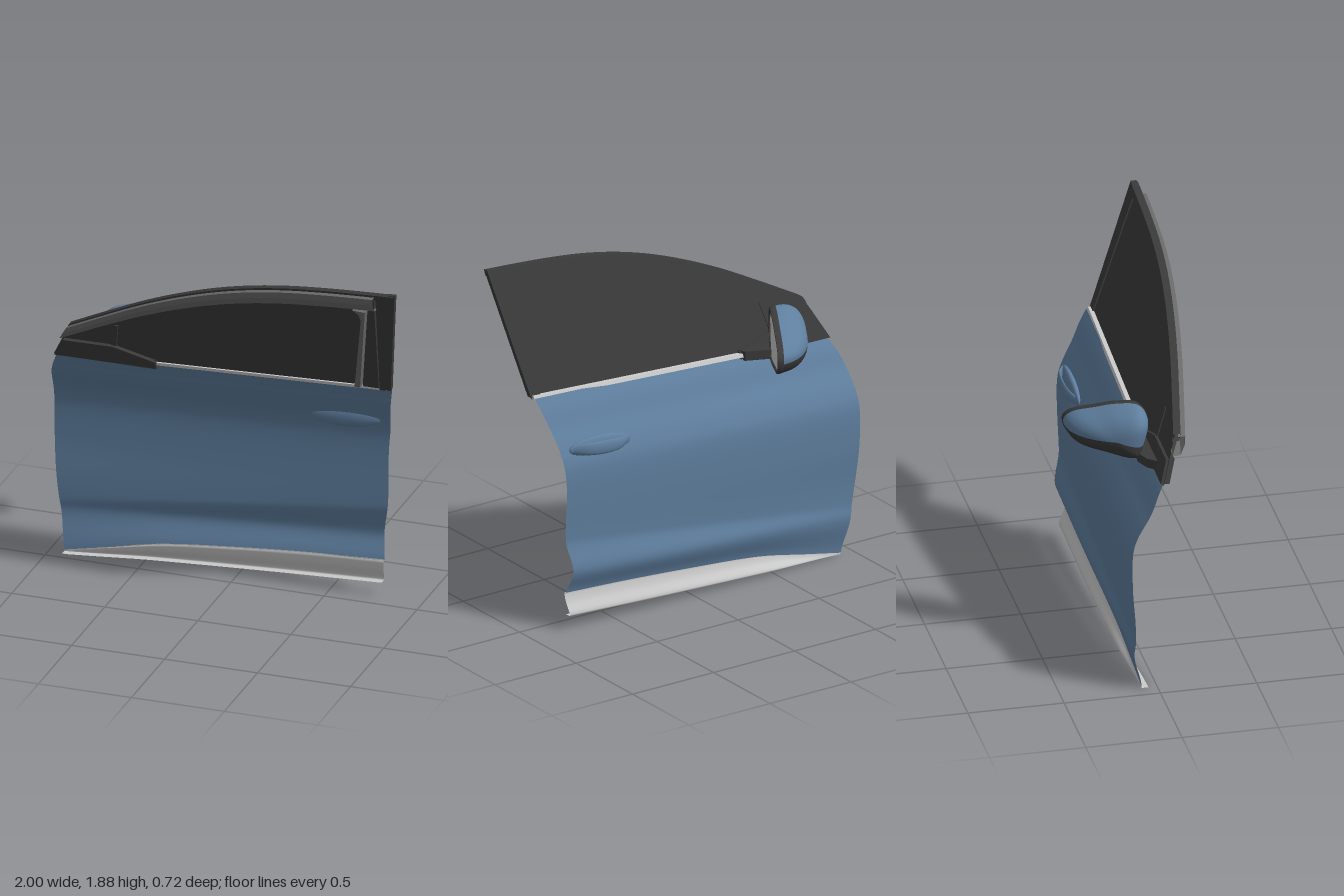
import * as THREE from 'three';

const mat = (color) => new THREE.MeshStandardMaterial({ color, side: THREE.DoubleSide });
const blue = mat(0x5f7f9f), dark = mat(0x3a3a3a), trim = mat(0x6a6a6a), grey = mat(0xcccccc);
const lerp = THREE.MathUtils.lerp, smooth = THREE.MathUtils.smoothstep;

// Smooth interpolation through a short table of [x, y] points
function interp(t, x) {
  let i = 0;
  while (i < t.length - 2 && x > t[i + 1][0]) i++;
  const slope = (k) => {
    const a = t[Math.max(k - 1, 0)], b = t[Math.min(k + 1, t.length - 1)];
    return (b[1] - a[1]) / (b[0] - a[0]);
  };
  const [x0, y0] = t[i], [x1, y1] = t[i + 1], h = x1 - x0;
  const s = THREE.MathUtils.clamp((x - x0) / h, 0, 1), r = 1 - s;
  return y0 * (1 + 2 * s) * r * r + h * slope(i) * s * r * r
    + y1 * s * s * (3 - 2 * s) - h * slope(i + 1) * s * s * r;
}

// Surface grid from f(u, v) -> [x, y, z]
function grid(f, nu, nv) {
  const pos = [], idx = [];
  for (let j = 0; j <= nv; j++) for (let i = 0; i <= nu; i++) pos.push(...f(i / nu, j / nv));
  for (let j = 0; j < nv; j++) for (let i = 0; i < nu; i++) {
    const a = j * (nu + 1) + i, b = a + nu + 1;
    idx.push(a, a + 1, b + 1, a, b + 1, b);
  }
  const g = new THREE.BufferGeometry();
  g.setAttribute('position', new THREE.Float32BufferAttribute(pos, 3));
  g.setIndex(idx);
  g.computeVertexNormals();
  return g;
}

// Door outline rules
const leftEdge = [[0.01, -0.925], [0.2, -0.955], [0.4, -0.983], [0.6, -0.998], [0.8, -1],
  [0.95, -0.99], [1.05, -0.97], [1.16, -0.92]];
const rightEdge = [[0.2, 0.79], [0.33, 0.772], [0.5, 0.8], [0.8, 0.802], [1, 0.825], [1.1, 0.845], [1.24, 0.88]];
const bottomEdge = [[-0.925, 0.01], [-0.7, 0.055], [-0.4, 0.115], [0, 0.155], [0.4, 0.185], [0.79, 0.205]];
const shoulder = [[0, 0.038], [0.06, 0], [0.15, -0.045], [0.24, -0.095], [0.31, -0.122], [0.38, -0.132],
  [0.5, -0.132], [0.75, -0.122], [1.3, -0.118]];
const arch = [[-0.82, 1.375], [-0.6, 1.49], [-0.4, 1.59], [-0.2, 1.675], [0, 1.745], [0.2, 1.797],
  [0.4, 1.832], [0.6, 1.853], [0.8, 1.867], [0.99, 1.877]];
const belt = (x) => 1.16 + (x + 0.92) * 0.0445;
const windowZ = (y) => 0.05 + (y - 1.2) * 0.37;

// Outer skin: shoulder on top, flared crease low down
function skinPoint(u, v) {
  const xn = lerp(-0.925, 0.79, u);
  const y = lerp(interp(bottomEdge, xn), belt(lerp(-0.92, 0.88, u)), v);
  const x = lerp(interp(leftEdge, y), interp(rightEdge, y), u);
  let z = interp(shoulder, belt(x) - y);
  const low = lerp(0.22, 0.33, u), high = lerp(0.27, 0.5, u);
  z -= 0.03 * smooth(u, -0.3, 0.8) * (1 - smooth(y, low, high));
  const b = interp(bottomEdge, xn);
  z += 0.045 * (1 - smooth(y, b - 0.02, Math.max(low, b + 0.06)));
  return [x, y, z - 0.012 * (1 - u) * smooth(y, 0.3, 0.6) * (1 - smooth(y, 0.85, 1.05))];
}

// Sill trim: continues from the skin's lower edge, with a lip folded inward
const sillProfile = [[0, 0.012], [0.05, 0.015], [0.45, 0.005], [0.85, -0.018], [1, -0.02]];
function sillPoint(u, v) {
  const [x, y, z] = skinPoint(u, 0);
  const bottom = u < 0.04 ? 0.003 : lerp(0.002, 0.08, u), w = Math.min(v / 0.85, 1);
  const fold = Math.max(0, v - 0.85) / 0.15;
  return [x - 0.012 * w * u, lerp(y, Math.min(bottom, y), w),
    z + interp(sillProfile, w) * smooth(u, 0, 0.3) + 0.035 * fold];
}

// Window pane and frame share one leaning surface
function windowPoint(u, v, off = 0) {
  const xb = lerp(-0.94, 0.885, u), xt = lerp(-0.82, 0.99, u);
  const y = lerp(belt(xb) - 0.01, interp(arch, xt), v);
  return [lerp(xb, xt, v), y, windowZ(y) + off];
}

// Rail with a closed [drop, offset] section below the roof arch
function rail(section, x0, x1) {
  return grid((u, v) => {
    const k = Math.min(Math.round(v * section.length), section.length) % section.length;
    const [drop, off] = section[k], x = lerp(x0, x1, u), y = interp(arch, x) - drop;
    return [x - 0.6 * drop * (1 - u), y, windowZ(y) + off];
  }, 48, section.length).toNonIndexed();
}

// Flat outline extruded and leaned onto the window surface
function panel(points, off, depth) {
  const g = new THREE.ExtrudeGeometry(new THREE.Shape(points.map((p) => new THREE.Vector2(...p))),
    { depth, bevelEnabled: false });
  const p = g.attributes.position;
  for (let i = 0; i < p.count; i++) p.setZ(i, p.getZ(i) + off + windowZ(p.getY(i)));
  g.computeVertexNormals();
  return g;
}

function createMirror(add) {
  // Housing outline as [z, y], starting at the inboard side and going over the top
  const outline = new THREE.CatmullRomCurve3([[0, 1.24], [0.02, 1.38], [-0.02, 1.43], [-0.12, 1.42], [-0.22, 1.385],
    [-0.33, 1.34], [-0.365, 1.29], [-0.33, 1.21], [-0.2, 1.175], [-0.03, 1.16]]
    .map(([z, y]) => new THREE.Vector3(0, y, z)), true);
  const at = (a, s, dx) => {
    const p = outline.getPoint(a % 1), z = lerp(-0.15, p.z, s);
    return [-0.55 - (z - 0.02) * 0.54 + dx, lerp(1.28, p.y, s), z];
  };
  const dome = (a0, a1) => grid((u, v) => {
    const t = Math.sin(v * Math.PI / 2);
    return at(lerp(a0, a1, u), Math.pow(Math.max(0, 1 - Math.pow(t, 2.4)), 1 / 2.4), -0.035 - 0.175 * t);
  }, 40, 16);
  add('mirrorCap', dome(0, 0.63), blue);
  add('mirrorLowerHousing', dome(0.63, 1), dark);
  const rimSection = [[1, -0.036], [1.015, -0.02], [1, 0], [0.9, 0], [0.88, -0.012]];
  add('mirrorRim', grid((u, v) => at(u, ...rimSection[Math.round(v * 4)]), 60, 4).toNonIndexed(), dark);
  add('mirrorGlass', grid((u, v) => at(u, 0.89 * (1 - v), -0.008), 60, 2), grey);

  // Foot joining the housing to the door
  const foot = [[-0.79, 0.06], [-0.73, -0.01], [-0.66, -0.04], [-0.52, -0.04], [-0.4, 0.01], [-0.38, 0.06]];
  const g = new THREE.ExtrudeGeometry(new THREE.Shape(foot.map(([x, z]) => new THREE.Vector2(x, -z))),
    { depth: 0.05, bevelEnabled: false });
  g.rotateX(-Math.PI / 2).translate(0, 1.155, 0);
  add('mirrorFoot', g, dark);
}

function createHandle(add) {
  // Shallow bowl in the skin and a bowed grip in front of it
  const bowl = new THREE.SphereGeometry(1, 32, 16).scale(0.19, 0.055, 0.024);
  bowl.rotateZ(0.05).translate(0.58, 0.97, -0.108);
  add('handleBowl', bowl, blue);
  const path = new THREE.CatmullRomCurve3([[0.42, 0.96, -0.11], [0.48, 0.965, -0.142], [0.58, 0.972, -0.155],
    [0.68, 0.978, -0.145], [0.75, 0.98, -0.11]].map((p) => new THREE.Vector3(...p)));
  const grip = grid((u, v) => {
    const p = path.getPoint(u), a = v * Math.PI * 2, w = 0.6 + 0.4 * Math.sin(u * Math.PI);
    return [p.x, p.y + 0.036 * w * Math.cos(a), p.z + 0.011 * Math.sin(a)];
  }, 28, 14);
  add('handleGrip', grip, blue);
}

export function createModel() {
  const door = new THREE.Group();
  door.name = 'carDoor';
  const add = (name, geometry, material) => {
    if (!geometry.index) geometry.computeVertexNormals();
    const m = new THREE.Mesh(geometry, material);
    m.name = name;
    door.add(m);
  };

  add('doorSkin', grid(skinPoint, 60, 70), blue);
  add('sillTrim', grid(sillPoint, 50, 20), grey);
  add('windowPane', grid(windowPoint, 50, 16), dark);

  // Window frame
  add('outerRoofRail', rail([[0, -0.008], [0, 0.03], [0.03, 0.03], [0.03, -0.008]], -0.82, 0.99), dark);
  add('innerRoofRail', rail([[0.012, 0.02], [0.014, 0.058], [0.05, 0.064], [0.092, 0.052], [0.095, 0.01]],
    -0.82, 0.885), trim);
  add('rearPillar', panel([[0.83, 1.235], [0.89, 1.24], [0.995, 1.882], [0.89, 1.868]], -0.008, 0.03), dark);
  add('rearInnerPanel', panel([[0.745, 1.25], [0.83, 1.25], [0.88, 1.84], [0.83, 1.8]], 0.004, 0.025), dark);
  add('rearWindowChannel', panel([[0.715, 1.26], [0.745, 1.26], [0.838, 1.77], [0.77, 1.775], [0.8, 1.75],
    [0.808, 1.71]], 0.01, 0.06), trim);
  add('frontDivider', panel([[-0.62, 1.25], [-0.59, 1.25], [-0.56, 1.4], [-0.58, 1.4]], -0.006, 0.018), dark);

  // Belt line
  add('beltTrim', panel([[-0.42, 1.172], [0.88, 1.232], [0.88, 1.25], [-0.42, 1.19]], -0.022, 0.034), grey);
  add('mirrorBase', panel([[-0.93, 1.155], [-0.62, 1.16], [-0.38, 1.163], [-0.38, 1.2], [-0.6, 1.265],
    [-0.87, 1.262]], -0.015, 0.045), dark);

  createMirror(add);
  createHandle(add);
  return door;
}
